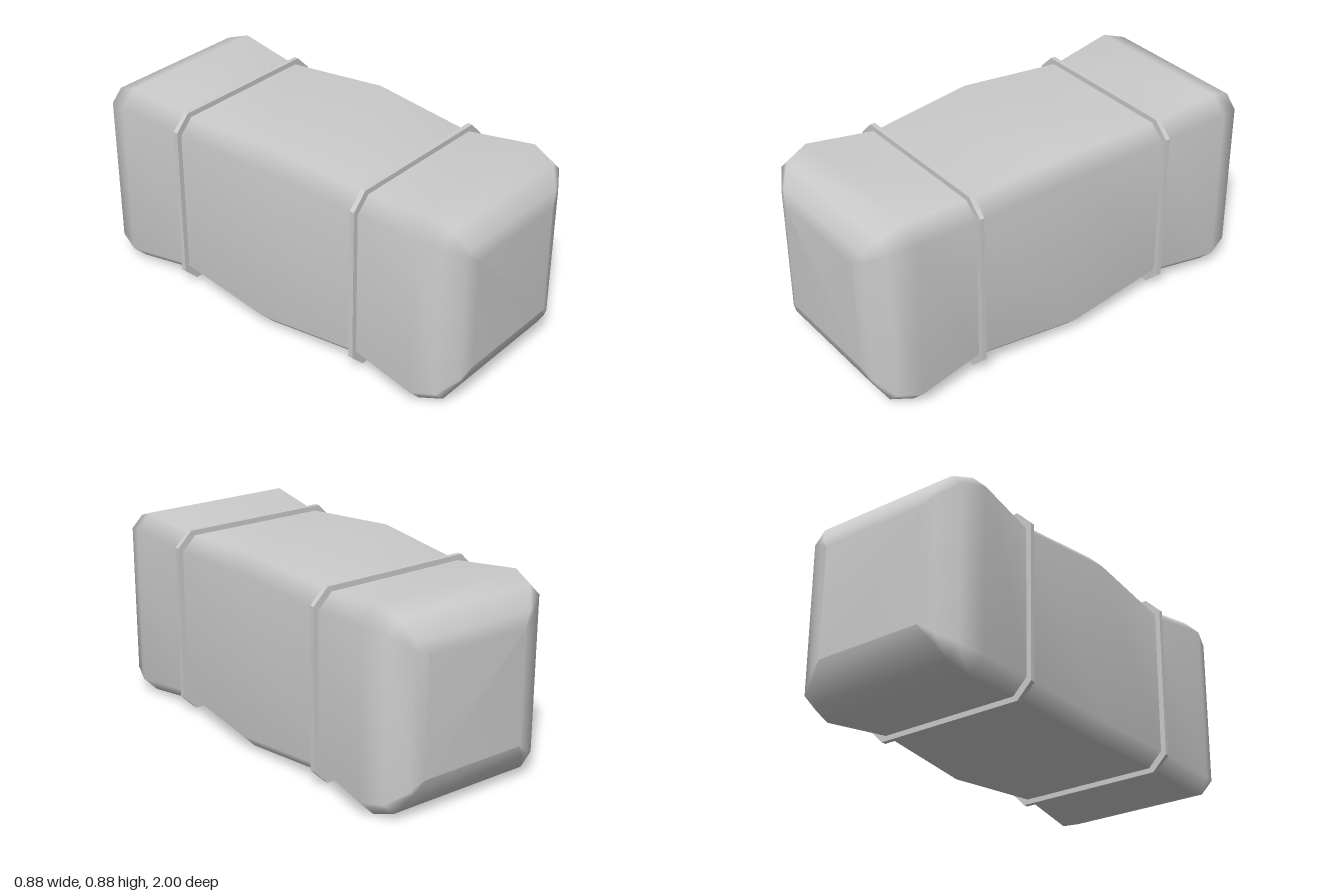
import * as THREE from 'three';

const CENTER_Y = 0.443;
const material = new THREE.MeshStandardMaterial({ color: 0xcccccc });

// Square outline with cut corners, counter-clockwise
function chamferedSquare(half, cut) {
  const inner = half - cut;
  return [
    [half, -inner], [half, inner], [inner, half], [-inner, half],
    [-half, inner], [-half, -inner], [-inner, -half], [inner, -half],
  ].map(([x, y]) => new THREE.Vector2(x, y));
}

// Smooth loft through chamfered sections along z, closed at both ends
function createBody() {
  // [z, half size, corner cut]
  const frontHalf = [
    [0.5, 0.405, 0.066], [0.82, 0.442, 0.07], [0.925, 0.406, 0.055],
    [0.98, 0.32, 0.02], [1, 0.26, 0.004],
  ];
  const sections = [
    ...frontHalf.map(([z, h, c]) => [-z, h, c]).reverse(),
    [0, 0.442, 0.07],
    ...frontHalf,
  ];
  const positions = [];
  const index = [];
  for (const [z, half, cut] of sections) {
    for (const p of chamferedSquare(half, cut)) positions.push(p.x, p.y, z);
  }
  for (let i = 0; i < sections.length - 1; i++) {
    for (let j = 0; j < 8; j++) {
      const a = i * 8 + j;
      const b = i * 8 + (j + 1) % 8;
      index.push(a, b, b + 8, a, b + 8, a + 8);
    }
  }
  // Flat end caps
  const last = (sections.length - 1) * 8;
  for (let j = 1; j < 7; j++) {
    index.push(0, j + 1, j);
    index.push(last, last + j, last + j + 1);
  }
  const geometry = new THREE.BufferGeometry();
  geometry.setAttribute('position', new THREE.Float32BufferAttribute(positions, 3));
  geometry.setIndex(index);
  geometry.computeVertexNormals();
  const body = new THREE.Mesh(geometry, material);
  body.name = 'body';
  return body;
}

// Thin band wrapped around a waist of the body
function createBand(z, name) {
  const width = 0.022;
  const shape = new THREE.Shape(chamferedSquare(0.43, 0.07));
  shape.holes.push(new THREE.Path(chamferedSquare(0.395, 0.064).reverse()));
  const geometry = new THREE.ExtrudeGeometry(shape, { depth: width, bevelEnabled: false });
  geometry.translate(0, 0, -width / 2);
  const band = new THREE.Mesh(geometry, material);
  band.position.z = z;
  band.name = name;
  return band;
}

export function createModel() {
  const group = new THREE.Group();
  group.name = 'bandedBlock';
  const parts = new THREE.Group();
  parts.name = 'parts';
  parts.position.y = CENTER_Y;
  parts.add(createBody(), createBand(0.497, 'frontBand'), createBand(-0.497, 'backBand'));
  group.add(parts);
  return group;
}
